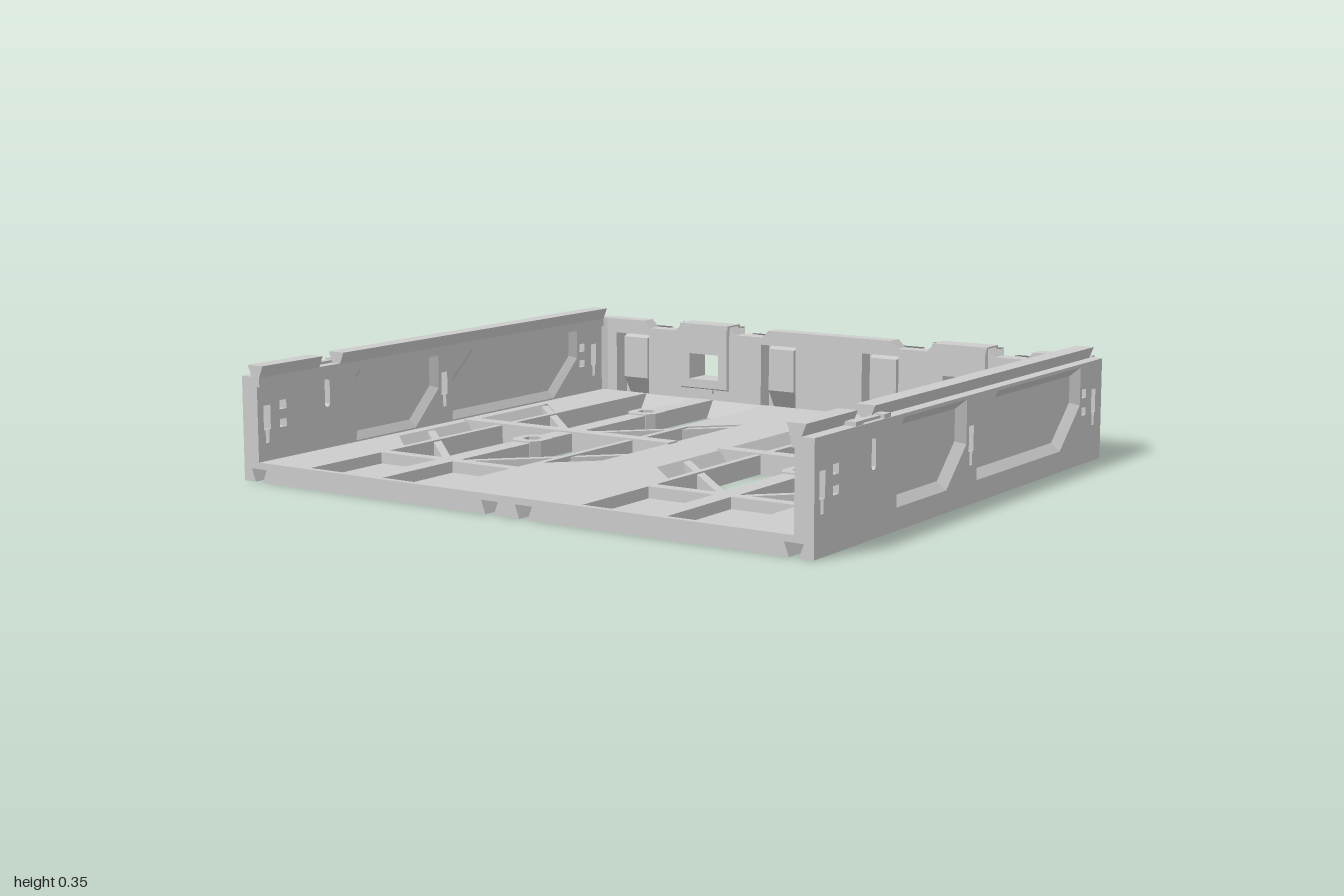
import * as THREE from 'three';

const material = new THREE.MeshStandardMaterial({ color: 0xcccccc, flatShading: true, side: THREE.DoubleSide });

function add(group, name, geometry) {
  const mesh = new THREE.Mesh(geometry, material);
  mesh.name = name;
  group.add(mesh);
  return mesh;
}
const toPoints = (list) => list.map(([a, b]) => new THREE.Vector2(a, b));
const rect = (a0, a1, b0, b1) => [[a0, b0], [a1, b0], [a1, b1], [a0, b1]];

// Extrude an outline between two heights of the chosen axis.
// axis y: outline is (x, z); axis x: outline is (z, y); axis z: outline is (x, y)
function slab(axis, outline, from, to, holes = []) {
  const shape = new THREE.Shape(toPoints(outline));
  holes.forEach((h) => shape.holes.push(new THREE.Path(toPoints(h))));
  const g = new THREE.ExtrudeGeometry(shape, { depth: to - from, bevelEnabled: false });
  if (axis === 'y') return g.rotateX(Math.PI / 2).translate(0, to, 0);
  if (axis === 'x') return g.rotateY(-Math.PI / 2).translate(to, 0, 0);
  return g.translate(0, 0, from);
}

// Skin a series of 3D loops, optionally closing the first and last one
function loft(loops, capStart, capEnd) {
  const n = loops[0].length, index = [];
  for (let r = 0; r < loops.length - 1; r++) {
    for (let i = 0; i < n; i++) {
      const a = r * n + i, b = r * n + (i + 1) % n;
      index.push(a, b, b + n, a, b + n, a + n);
    }
  }
  const last = (loops.length - 1) * n;
  for (let i = 1; i < n - 1; i++) {
    if (capStart) index.push(0, i + 1, i);
    if (capEnd) index.push(last, last + i, last + i + 1);
  }
  const g = new THREE.BufferGeometry();
  g.setAttribute('position', new THREE.Float32BufferAttribute(loops.flat(2), 3));
  g.setIndex(index);
  const flat = g.toNonIndexed();
  flat.computeVertexNormals();
  return flat;
}

function box(x0, x1, y0, y1, z0, z1) {
  return new THREE.BoxGeometry(x1 - x0, y1 - y0, z1 - z0)
    .translate((x0 + x1) / 2, (y0 + y1) / 2, (z0 + z1) / 2);
}

// Slanted floor brace between two plan points
function brace(x0, z0, x1, z1) {
  return new THREE.BoxGeometry(Math.hypot(x1 - x0, z1 - z0), 0.05, 0.026)
    .rotateY(-Math.atan2(z1 - z0, x1 - x0))
    .translate((x0 + x1) / 2, 0.03, (z0 + z1) / 2);
}

const FRONT = 0.93, BACK = -0.85, TOP = 0.32, FLOOR = 0.06;

function buildFloor(half) {
  // Openings are symmetric about x = 0.5
  const side = [[0.75, BACK + 0.001], [0.75, -0.31], [0.9, -0.46], [0.9, 0.33], [0.77, 0.46], [0.75, 0.46], [0.75, 0.55]];
  const opening = [...side, ...side.map(([x, z]) => [1 - x, z]).reverse()];
  const pockets = [[0.25, 0.47], [0.53, 0.75]];
  add(half, 'floorPlate', slab('y', rect(0.09, 0.91, BACK, FRONT), 0, FLOOR,
    [opening, ...pockets.map(([a, b]) => rect(a, b, 0.59, 0.91))]));
  pockets.forEach(([a, b]) => add(half, 'pocketFloor', box(a, b, 0, 0.025, 0.59, 0.89)));

  // Roofs of the underside dovetail grooves and their slanted flanks
  add(half, 'grooveRoof', box(0, 0.09, 0.04, FLOOR, BACK, FRONT));
  add(half, 'grooveRoof', box(0.91, 0.95, 0.04, FLOOR, BACK, FRONT));
  const flanks = [
    [[0, 0], [0.045, 0], [0.03, 0.04], [0, 0.04]],
    [[0.075, 0], [0.09, 0], [0.09, 0.04]],
    [[0.91, 0], [0.925, 0], [0.91, 0.04]],
    [[0.955, 0], [1, 0], [1, 0.04], [0.97, 0.04]],
  ];
  flanks.forEach((f) => add(half, 'grooveFlank', slab('z', f, BACK, FRONT)));

  // Ramp at the rear of the opening
  add(half, 'rearRamp', slab('x', [[BACK, 0], [-0.81, 0], [BACK, FLOOR]], 0.25, 0.75));

  // Bars, ribs and braces crossing the opening
  add(half, 'crossBar', box(0.09, 0.915, 0, 0.065, -0.065, -0.015));
  [[BACK, -0.54], [-0.44, 0.1], [0.2, 0.56]].forEach(([a, b]) =>
    add(half, 'centreBar', box(0.467, 0.533, 0, FLOOR, a, b)));
  for (const s of [1, -1]) {
    const x = (v) => 0.5 + s * v;
    add(half, 'rib', box(Math.min(x(0.25), x(0.272)), Math.max(x(0.25), x(0.272)), 0, FLOOR, -0.33, 0.55));
    add(half, 'brace', brace(x(0.4), -0.445, x(0.02), -0.06));
    add(half, 'brace', brace(x(0.4), 0.17, x(0.02), 0.55));
    [[-0.44, -0.065], [-0.015, 0.34]].forEach(([a, b]) =>
      add(half, 'sideRamp', slab('z', [[x(0.4), 0], [x(0.355), 0], [x(0.4), FLOOR]], a, b)));
  }

  // Screw bosses with hexagonal holes
  for (const z of [-0.49, 0.15]) {
    const boss = [[-0.035, -0.06], [0.035, -0.06], [0.055, -0.03], [0.055, 0.03], [0.035, 0.06], [-0.035, 0.06], [-0.055, 0.03], [-0.055, -0.03]];
    const hex = [0, 1, 2, 3, 4, 5].map((i) => [0.5 + 0.032 * Math.sin(i * Math.PI / 3), z + 0.032 * Math.cos(i * Math.PI / 3)]);
    add(half, 'screwBoss', slab('y', boss.map(([a, b]) => [0.5 + a, z + b]), 0, 0.065, [hex]));
  }
}

function buildSideWall(half) {
  // Bevelled panel outline, inset by d: front, back, top-front cut, bottom-back cut
  const panel = ([a, b, tz, ty, bz, by], d) => [
    [a - d, 0.065 + d], [a - d, 0.31 - ty - 0.4 * d], [a - tz - 0.4 * d, 0.31 - d],
    [b + d, 0.31 - d], [b + d, 0.065 + by + 0.4 * d], [b + bz + 0.4 * d, 0.065 + d]];
  const panels = [[0.49, 0.08, 0.04, 0.04, 0.12, 0.115], [0.012, -0.69, 0.13, 0.11, 0.14, 0.125]];

  const keyhole = (c) => [[-0.015, 0.23], [0.015, 0.23], [0.015, 0.155], [0.008, 0.155], [0.008, 0.115],
    [-0.008, 0.115], [-0.008, 0.155], [-0.015, 0.155]].map(([z, y]) => [z + c, y]);
  const oval = [];
  for (let i = 0; i < 12; i++) {
    const t = (i + 0.5) * Math.PI / 6;
    oval.push([0.62 + 0.012 * Math.cos(t), 0.235 + Math.sign(Math.sin(t)) * 0.034 + 0.012 * Math.sin(t)]);
  }
  const holes = [oval, ...[0.89, 0.05, -0.79].map(keyhole), ...panels.map((p) => panel(p, 0))];
  for (const c of [0.82, -0.72]) holes.push(rect(c - 0.015, c + 0.015, 0.155, 0.18), rect(c - 0.015, c + 0.015, 0.21, 0.238));
  add(half, 'sideWall', slab('x', rect(-0.85, FRONT, 0.04, TOP), 0.94, 1, holes));

  // Recessed panels, outside and inside
  for (const p of panels) {
    for (const [x0, x1] of [[1, 0.975], [0.94, 0.958]]) {
      const loop = (d, x) => panel(p, d).map(([z, y]) => [x, y, z]);
      add(half, 'wallPanel', loft([loop(0, x0), loop(0.026, x1)], false, true));
    }
  }

  // Dovetail rail on top, with a gap for the latch
  const rail = [[0.93, 0.318], [0.96, 0.318], [0.975, 0.355], [0.915, 0.355]];
  [[-0.84, 0.57], [0.665, FRONT]].forEach(([a, b]) => add(half, 'topRail', slab('z', rail, a, b)));
  add(half, 'railFoot', box(0.93, 0.942, 0.29, TOP, -0.84, FRONT));
  [[0.525, 0.56], [0.675, 0.715]].forEach(([a, b]) => add(half, 'latch', box(0.955, 0.998, 0.3, 0.332, a, b)));
  add(half, 'latchBar', box(0.965, 0.985, 0.3, 0.328, 0.56, 0.675));
}

function buildBackWall(half) {
  const outline = [[0, 0], [0.95, 0], [0.95, TOP], [0.76, TOP], [0.735, 0.295], [0.625, 0.295], [0.6, TOP],
    [0.4, TOP], [0.375, 0.295], [0.265, 0.295], [0.24, TOP], [0, TOP]];
  const windowHole = rect(0.44, 0.56, 0.13, 0.22);
  const pockets = [[0.13, 0.27], [0.74, 0.88]];
  const bays = [[0.06, 0.34], [0.67, 0.95]];
  add(half, 'backWall', slab('z', outline, -0.905, BACK,
    [windowHole, ...pockets.map(([a, b]) => rect(a, b, 0.04, 0.27))]));

  // Protruding bays with sloped sides, each hollowed by a tapered pocket
  const loop = (x0, x1, y0, y1, z) => rect(x0, x1, y0, y1).map(([x, y]) => [x, y, z]);
  bays.forEach(([a, b], i) => {
    const [c, d] = pockets[i];
    add(half, 'backBay', loft([
      loop(a, b, 0, 0.3, -0.905), loop(a + 0.04, b - 0.04, 0.03, 0.285, -0.94),
      loop(c, d, 0.04, 0.27, -0.94), loop(c + 0.02, d - 0.02, 0.11, 0.255, -0.87)], false, true));
  });

  // Window frame, outside and inside
  add(half, 'windowFrame', loft([
    loop(0.37, 0.63, 0, TOP, -0.905), loop(0.4, 0.6, 0.03, 0.31, -0.94),
    loop(0.44, 0.56, 0.13, 0.22, -0.94), loop(0.44, 0.56, 0.13, 0.22, -0.84),
    loop(0.405, 0.595, 0.1, TOP, -0.84), loop(0.4, 0.6, 0.095, TOP, BACK)], false, false));
  add(half, 'windowFrameTop', box(0.4, 0.6, 0.31, 0.325, -0.92, -0.84));
  add(half, 'windowSill', box(0.465, 0.535, 0.082, 0.095, -0.85, -0.84));

  // Chamfered rear corner
  const corner = (y, z, x) => [[0.92, y, BACK], [0.94, y, -0.84], [1, y, -0.84], [x, y, BACK], [0.91, y, z], [0.9, y, z]];
  add(half, 'rearCorner', loft([corner(0, -0.905, 0.985), corner(0.03, -0.94, 1), corner(0.285, -0.94, 1),
    corner(TOP, -0.905, 0.985)], true, true));
}

export function createModel() {
  const model = new THREE.Group();
  model.name = 'tray';
  const left = new THREE.Group();
  left.name = 'leftHalf';
  buildFloor(left);
  buildSideWall(left);
  buildBackWall(left);
  const right = left.clone();
  right.name = 'rightHalf';
  right.scale.x = -1;
  model.add(left, right);
  return model;
}
